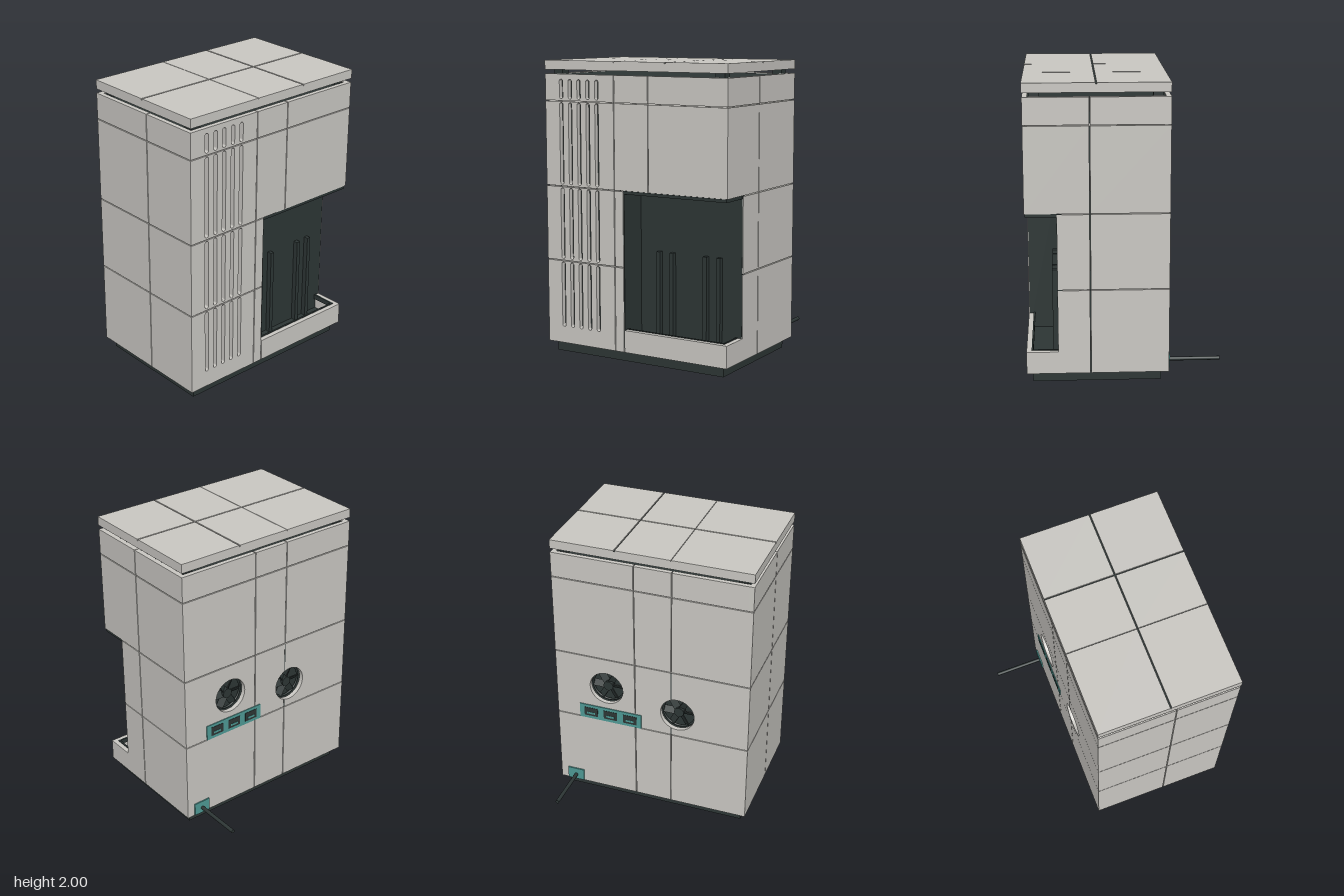
import * as THREE from 'three';

export function createModel() {
  const model = new THREE.Group();
  model.name = 'towerCabinet';
  const mat = (name, color) => {
    const m = new THREE.MeshStandardMaterial({ color });
    m.name = name;
    return m;
  };
  const light = mat('warmGrey', 0xcac8c3);
  const dark = mat('darkSlate', 0x2d3635);
  const teal = mat('teal', 0x4f9a95);

  const add = (parent, name, geo, material) => {
    const m = new THREE.Mesh(geo, material);
    m.name = name;
    parent.add(m);
    return m;
  };
  // Box given by its limits on each axis
  const box = (name, material, x0, x1, y0, y1, z0, z1, parent = model) => {
    const m = add(parent, name, new THREE.BoxGeometry(x1 - x0, y1 - y0, z1 - z0), material);
    m.position.set((x0 + x1) / 2, (y0 + y1) / 2, (z0 + z1) / 2);
    return m;
  };
  const rect = (Type, a, b, c, d) => {
    const s = new Type();
    s.moveTo(a, c);
    s.lineTo(b, c);
    s.lineTo(b, d);
    s.lineTo(a, d);
    s.closePath();
    return s;
  };

  // Body limits, panel thickness and half the gap between panels
  const X0 = -0.3, X1 = 0.64, Z = 0.7, T = 0.033, G = 0.003;
  const ix0 = X0 + T, ix1 = X1 - T, iz = Z - T;
  const rows = [0.07, 0.645, 1.155, 1.73, 1.91];

  // One group per wall: local z points outward, sign maps the world axis to local x
  const wall = (name, angle, x, z, sign) => {
    const g = new THREE.Group();
    g.name = name;
    g.rotation.y = angle;
    g.position.set(x, 0, z);
    g.userData.sign = sign;
    model.add(g);
    return g;
  };
  const front = wall('frontWall', 0, 0, iz, 1);
  const back = wall('backWall', Math.PI, 0, -iz, -1);
  const right = wall('rightWall', -Math.PI / 2, ix0, 0, 1);
  const left = wall('leftWall', Math.PI / 2, ix1, 0, -1);

  const panel = (w, a, b, c, d, holes = []) => {
    const s = w.userData.sign;
    const u = [a * s, b * s].sort((p, q) => p - q);
    const shape = rect(THREE.Shape, u[0], u[1], c, d);
    shape.holes.push(...holes);
    add(w, 'panel', new THREE.ExtrudeGeometry(shape, { depth: T, bevelEnabled: false, curveSegments: 24 }), light);
  };
  const yLow = i => rows[i] + (i ? G : 0);
  const yHigh = i => rows[i + 1] - (i < 3 ? G : 0);

  // Front and back panels
  for (let i = 0; i < 4; i++) {
    panel(front, X0, 0.217 - G, yLow(i), yHigh(i));
    panel(front, 0.217 + G, X1, yLow(i), yHigh(i));
    panel(back, X0, 0.217 - G, yLow(i), yHigh(i));
    panel(back, 0.217 + G, i < 2 ? 0.43 : X1, yLow(i), yHigh(i));
  }
  panel(back, 0.43, X1, 0.07, 0.22);

  // Vented panels beside the bay
  const slots = [[0.185, 0.635], [0.66, 1.145], [1.17, 1.72], [1.745, 1.875]];
  const slot = (u, y0, y1) => {
    const p = new THREE.Path(), r = 0.014;
    p.moveTo(u + r, y0 + r);
    p.lineTo(u + r, y1 - r);
    p.absarc(u, y1 - r, r, 0, Math.PI, false);
    p.lineTo(u - r, y0 + r);
    p.absarc(u, y0 + r, r, Math.PI, Math.PI * 2, false);
    return p;
  };
  for (let i = 0; i < 4; i++) {
    const holes = [0.57, 0.498, 0.427, 0.355, 0.284].map(z => slot(-z, ...slots[i]));
    panel(left, 0.148 + G, iz, yLow(i), yHigh(i), holes);
    if (i < 2) panel(left, 0.08, 0.148 - G, yLow(i), yHigh(i));
    else {
      panel(left, -0.115 + G, 0.148 - G, yLow(i), yHigh(i));
      panel(left, -iz, -0.115 - G, yLow(i), yHigh(i));
    }
  }
  panel(left, -iz, 0.072, 0.07, 0.22);

  // Opposite wall, with two round fan openings
  const fans = [[-0.326, 0.92], [0.193, 0.82]];
  const circle = ([u, y]) => {
    const p = new THREE.Path();
    p.absarc(u, y, 0.122, 0, Math.PI * 2, false);
    return p;
  };
  for (let i = 0; i < 4; i++) {
    panel(right, -iz, -0.115 - G, yLow(i), yHigh(i), i === 1 ? [circle(fans[0])] : []);
    if (i === 1) panel(right, -0.115 + G, iz, yLow(i), yHigh(i), [circle(fans[1])]);
    else {
      panel(right, -0.115 + G, 0.148 - G, yLow(i), yHigh(i));
      panel(right, 0.148 + G, iz, yLow(i), yHigh(i));
    }
  }
  for (const [y0, y1] of [[0.648, 0.705], [0.935, 1.152]])
    box('seam', dark, 0.145, 0.151, y0, y1, T - 0.002, T + 0.001, right);

  // Fans
  for (const [u, y] of fans) {
    const fan = new THREE.Group();
    fan.name = 'fan';
    fan.position.set(u, y, -0.02);
    right.add(fan);
    add(fan, 'fanRing', new THREE.TorusGeometry(0.118, 0.008, 8, 32), dark);
    add(fan, 'fanHub', new THREE.CylinderGeometry(0.035, 0.035, 0.04, 20), dark).rotation.x = Math.PI / 2;
    for (let k = 0; k < 6; k++) {
      const arm = new THREE.Group();
      arm.rotation.z = (k * Math.PI) / 3;
      fan.add(arm);
      box('fanBlade', dark, 0.03, 0.11, -0.025, 0.025, -0.003, 0.003, arm).rotation.x = 0.6;
    }
  }

  // Port strip and power inlet with its cable
  box('portPlate', teal, -0.53, -0.07, 0.645, 0.755, T, T + 0.006, right);
  for (const u of [-0.445, -0.3, -0.155]) {
    box('port', dark, u - 0.05, u + 0.05, 0.667, 0.733, T + 0.005, T + 0.008, right);
    box('portTongue', teal, u - 0.03, u + 0.03, 0.682, 0.697, T + 0.007, T + 0.01, right);
  }
  box('inletPlate', teal, -0.645, -0.522, 0.075, 0.165, T, T + 0.009, right);
  const cable = add(model, 'cable', new THREE.CylinderGeometry(0.013, 0.013, 0.345, 16), dark);
  cable.rotation.z = Math.PI / 2;
  cable.position.set(-0.4775, 0.113, -0.582);

  // Dark core behind the panels
  box('upperCore', dark, ix0, ix1, 1.155, 1.903, -iz, iz);
  box('frontCore', dark, -0.2, ix1, 0.5, 1.155, 0.08, iz);
  box('backCore', dark, -0.2, 0.43, 0.5, 1.155, -iz, 0.08);
  box('innerShelf', dark, ix0, 0.43, 0.49, 0.5, -iz, iz);
  box('innerShelfSide', dark, 0.43, ix1, 0.49, 0.5, 0.08, iz);
  box('upperJoint', light, X0 + 0.015, X1 - 0.015, 1.72, 1.74, -Z + 0.015, Z - 0.015);

  // Lower walls: dark backing with a light lining inside
  for (const [name, m, a, b] of [['backing', dark, 0, 0.01], ['lining', light, 0.01, 0.015]]) {
    box(name, m, ix0, ix1, 0.07, 0.49, iz - b, iz - a);
    box(name, m, ix0, 0.43, 0.07, 0.49, -iz + a, -iz + b);
    box(name, m, ix0 + a, ix0 + b, 0.07, 0.49, -iz, iz);
    box(name, m, ix1 - b, ix1 - a, 0.07, 0.49, 0.08, iz);
  }

  // Open corner bay
  box('bayWall', dark, 0.4, 0.431, 0.1, 1.155, -Z + 0.004, 0.08);
  box('baySide', dark, 0.43, X1 - 0.005, 0.1, 1.155, 0.074, 0.083);
  box('bayCeiling', dark, 0.43, X1 - 0.006, 1.135, 1.156, -Z + 0.008, 0.08);
  box('trayFloor', dark, 0.43, ix1, 0.1, 0.115, -iz, 0.08);
  box('trayTrim', dark, ix1 - 0.012, ix1, 0.19, 0.225, -iz, 0.08);
  box('trayTrim', dark, 0.43, ix1, 0.19, 0.225, -iz, -iz + 0.012);
  for (const z of [-0.08, -0.183, -0.437, -0.538])
    box('bayRail', dark, 0.43, 0.465, 0.115, 0.74, z - 0.014, z + 0.014);

  // Fitting under the inner shelf
  box('innerBracket', teal, -0.26, 0, 0.44, 0.46, 0.49, 0.55);
  box('innerBracketBlock', teal, -0.18, -0.08, 0.38, 0.49, 0.49, 0.54);

  // Base: a plinth ring and the flange above it
  const ring = (name, a, b, z, y0, y1) => {
    const s = rect(THREE.Shape, a, b, -z, z);
    s.holes.push(rect(THREE.Path, -0.14, 0.49, -0.52, 0.52));
    const m = add(model, name, new THREE.ExtrudeGeometry(s, { depth: y1 - y0, bevelEnabled: false }), dark);
    m.rotation.x = -Math.PI / 2;
    m.position.y = y0;
  };
  ring('plinth', -0.25, 0.6, 0.655, 0, 0.071);
  ring('flange', ix0, ix1, iz, 0.071, 0.077);

  // Lid on four spacers, its top split into tiles
  for (const x of [-0.22, 0.565])
    for (const z of [-0.62, 0.62])
      box('spacer', dark, x - 0.032, x + 0.032, 1.9, 1.94, z - 0.034, z + 0.034);
  box('lid', light, X0, X1 + 0.003, 1.938, 1.99, -Z, Z);
  box('lidSeam', dark, X0 + 0.002, X1, 1.989, 1.992, -Z + 0.002, Z - 0.002);
  for (const [x0, x1] of [[X0, 0.17], [0.179, X1 + 0.003]])
    for (const [z0, z1] of [[-Z, -0.25], [-0.241, 0.142], [0.146, Z]])
      box('lidTile', light, x0, x1, 1.99, 2, z0, z1);

  return model;
}
